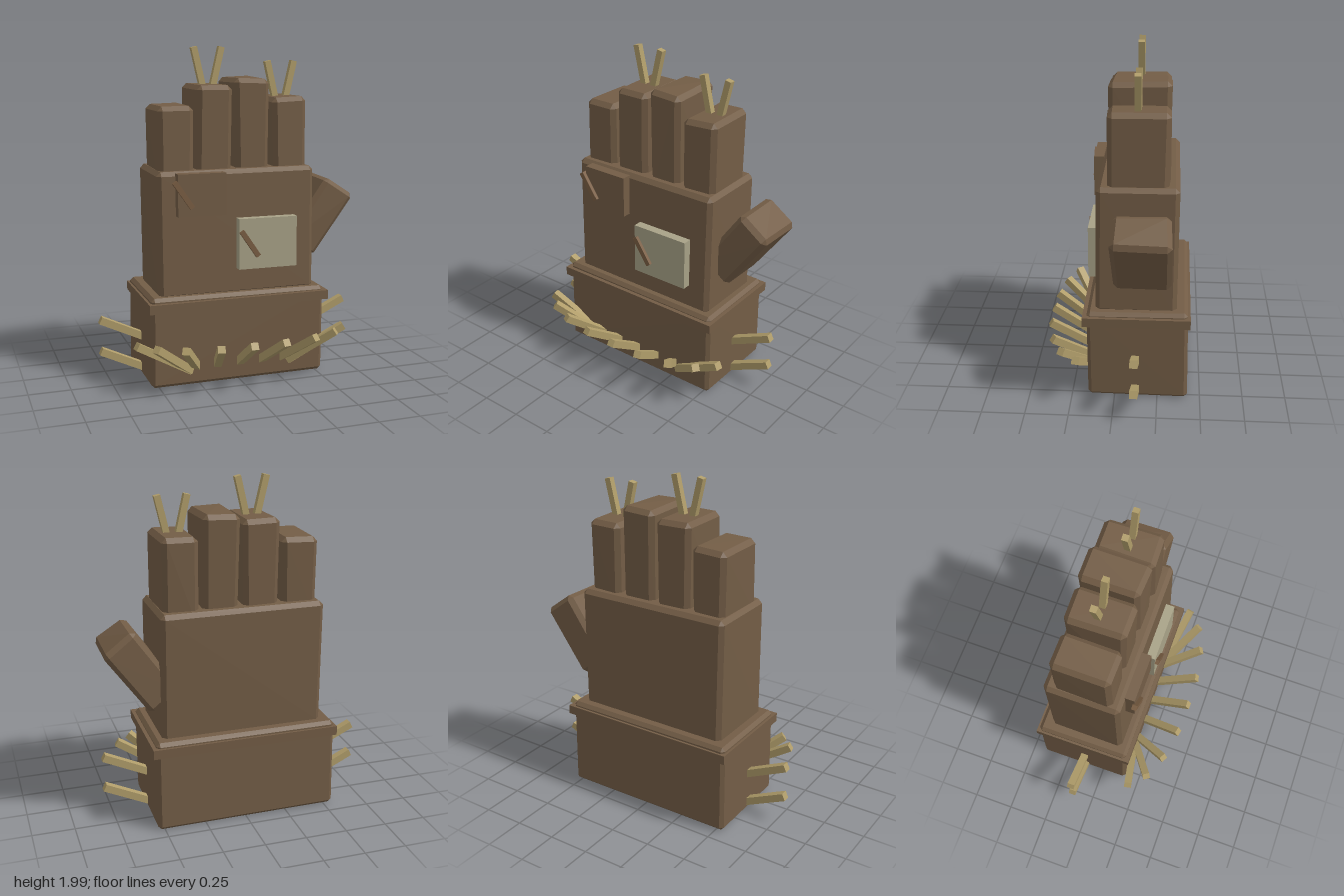
import * as THREE from 'three';
import { ConvexGeometry } from 'three/addons/geometries/ConvexGeometry.js';

const mat = (name, color) => new THREE.MeshStandardMaterial({ name, color, flatShading: true });

export function createModel() {
  const group = new THREE.Group();
  const leather = mat('brown leather', 0x735d46);
  const cloth = mat('pale cloth', 0xa8a287);
  const straw = mat('straw', 0xb09d6a);
  const thread = mat('thread', 0x7a5e43);

  let seed = 7;
  const wobble = (a) => {
    seed = (seed * 16807) % 2147483647;
    return (seed / 2147483647 - 0.5) * 2 * a;
  };

  const add = (name, geometry, material, x, y, z) => {
    const mesh = new THREE.Mesh(geometry, material);
    mesh.name = name;
    mesh.position.set(x, y, z);
    group.add(mesh);
    return mesh;
  };

  // Hand-cut block: a box with bevelled, slightly uneven corners
  const block = (name, [x0, x1], [y0, y1], [z0, z1], bevel) => {
    const half = [(x1 - x0) / 2, (y1 - y0) / 2, (z1 - z0) / 2];
    const points = [];
    for (const sx of [-1, 1]) for (const sy of [-1, 1]) for (const sz of [-1, 1]) {
      const j = [wobble(0.006), wobble(0.005), wobble(0.006)];
      for (let axis = 0; axis < 3; axis++) {
        // each of the three corner points lies on one face
        const p = [sx, sy, sz].map((s, i) => s * (half[i] - (i === axis ? 0 : bevel)) + j[i]);
        points.push(new THREE.Vector3(...p));
      }
    }
    return add(name, new ConvexGeometry(points), leather, (x0 + x1) / 2, (y0 + y1) / 2, (z0 + z1) / 2);
  };

  // Square stick running between two points
  const stick = (name, from, to, size = 0.045, material = straw) => {
    const a = new THREE.Vector3(...from), b = new THREE.Vector3(...to);
    const mid = a.clone().add(b).multiplyScalar(0.5);
    const mesh = add(name, new THREE.BoxGeometry(size, size, a.distanceTo(b)), material, mid.x, mid.y, mid.z);
    mesh.lookAt(b);
    return mesh;
  };

  // Cuff, its band and the palm
  block('cuff', [-0.545, 0.535], [0.01, 0.555], [-0.425, 0.16], 0.02);
  add('cuffBand', new THREE.BoxGeometry(1.12, 0.055, 0.62), leather, 0, 0.5, -0.125);
  block('palm', [-0.485, 0.487], [0.53, 1.29], [-0.36, 0.108], 0.025);

  // Fingers and thumb
  const fingers = [[-0.46, -0.248, 1.66], [-0.23, -0.012, 1.78], [0.01, 0.22, 1.815], [0.245, 0.458, 1.7]];
  fingers.forEach(([x0, x1, top], i) => block('finger' + (i + 1), [x0, x1], [1.2, top], [-0.3, 0.05], 0.027));
  const thumb = block('thumb', [0.47, 0.69], [0.72, 1.18], [-0.32, 0.008], 0.027);
  thumb.rotation.z = -0.63;

  // Patches with one loose stitch each
  add('brownPatch', new THREE.BoxGeometry(0.29, 0.25, 0.06), leather, -0.235, 1.155, 0.132);
  add('palePatch', new THREE.BoxGeometry(0.365, 0.305, 0.06), cloth, 0.173, 0.847, 0.132);
  for (const [x, y] of [[-0.35, 1.16], [0.055, 0.85]]) {
    const stitch = add('stitch', new THREE.BoxGeometry(0.03, 0.185, 0.03), thread, x, y, 0.168);
    stitch.rotation.z = 0.6;
  }

  // Straw poking out of two fingertips
  for (const [x, top] of [[-0.115, 2.0], [0.35, 1.915]]) {
    for (const s of [-1, 1]) {
      const tuft = add('fingerStraw', new THREE.BoxGeometry(0.037, 0.28, 0.037), straw, x + s * 0.054, top - 0.14, -0.122);
      tuft.rotation.z = -s * 0.23;
    }
  }

  // Straw fanning out from the front of the cuff
  stick('frontStraw', [0, 0.12, 0.14], [0, 0.3, 0.415]);
  const fan = [
    [[0.14, 0.12, 0.14], [0.2, 0.3, 0.41]],
    [[0.27, 0.12, 0.14], [0.4, 0.3, 0.375]],
    [[0.31, 0.1, 0.145], [0.555, 0.305, 0.31]],
    [[0.31, 0.1, 0.145], [0.65, 0.305, 0.215]],
  ];
  for (const [a, b] of fan) for (const s of [-1, 1]) {
    stick('frontStraw', [a[0] * s, a[1], a[2]], [b[0] * s, b[1], b[2]]);
  }

  // Straw at both sides of the cuff
  for (const s of [-1, 1]) for (const y of [0.38, 0.185]) {
    stick('sideStraw', [s * 0.5, y - 0.14, -0.122], [s * 0.795, y, -0.122]);
  }

  return group;
}
